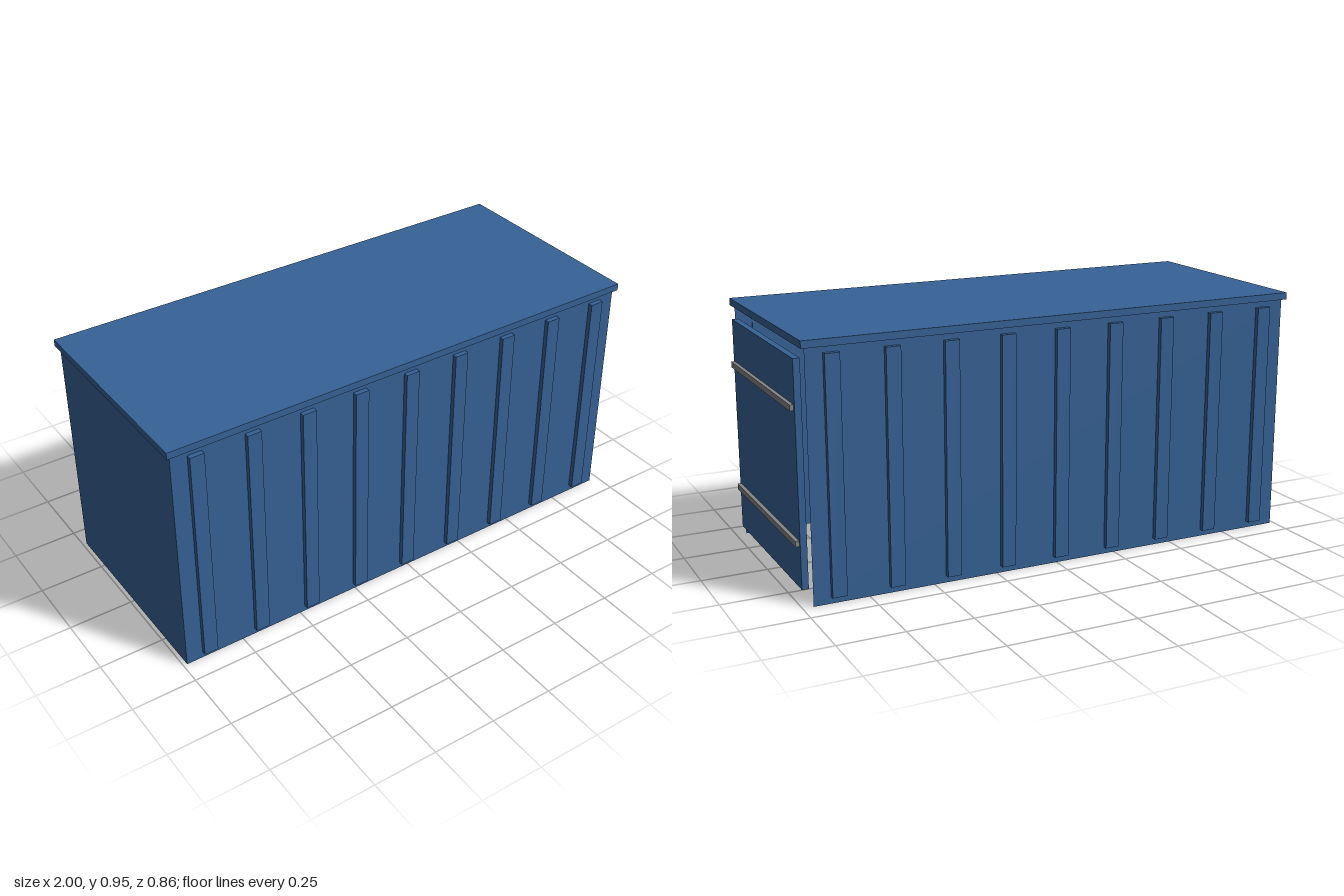
import * as THREE from 'three';

export function createModel() {
  const group = new THREE.Group();
  const blue = new THREE.MeshStandardMaterial({ color: 0x366296, side: THREE.DoubleSide });
  blue.name = 'container blue';
  const grey = new THREE.MeshStandardMaterial({ color: 0x868686 });
  grey.name = 'bar grey';

  const add = (name, geometry, material, x, y, z) => {
    const mesh = new THREE.Mesh(geometry, material);
    mesh.name = name;
    mesh.position.set(x, y, z);
    group.add(mesh);
    return mesh;
  };

  const midX = -0.0125, length = 1.945, height = 0.925, halfDepth = 0.413;

  // Thin sheet walls on both long sides, each with upright ribs running through it
  const wall = new THREE.PlaneGeometry(length, height);
  const rib = new THREE.BoxGeometry(0.055, 0.875, 0.023);
  for (const side of [1, -1]) {
    const sheet = add(side > 0 ? 'frontWall' : 'backWall', wall, blue, midX, height / 2, side * halfDepth);
    if (side < 0) sheet.rotation.y = Math.PI;
    for (let i = -4; i <= 4; i++) {
      add('wallRib', rib, blue, midX + i * 0.22, 0.4635, side * 0.42);
    }
  }

  // Closed end; the opposite end and the floor are open
  const end = add('endWall', new THREE.PlaneGeometry(halfDepth * 2, height), blue,
    midX - length / 2, height / 2, 0);
  end.rotation.y = -Math.PI / 2;

  // Overhanging roof slab
  add('roof', new THREE.BoxGeometry(1.975, 0.027, 0.852), blue, midX, 0.9375, 0);

  // Door panel standing in the open end, with two locking bars
  add('door', new THREE.BoxGeometry(0.025, 0.83, 0.734), blue, 0.9725, 0.465, 0);
  const bar = new THREE.BoxGeometry(0.015, 0.022, 0.714);
  for (const y of [0.219, 0.708]) add('doorBar', bar, grey, 0.9915, y, 0);

  return group;
}
